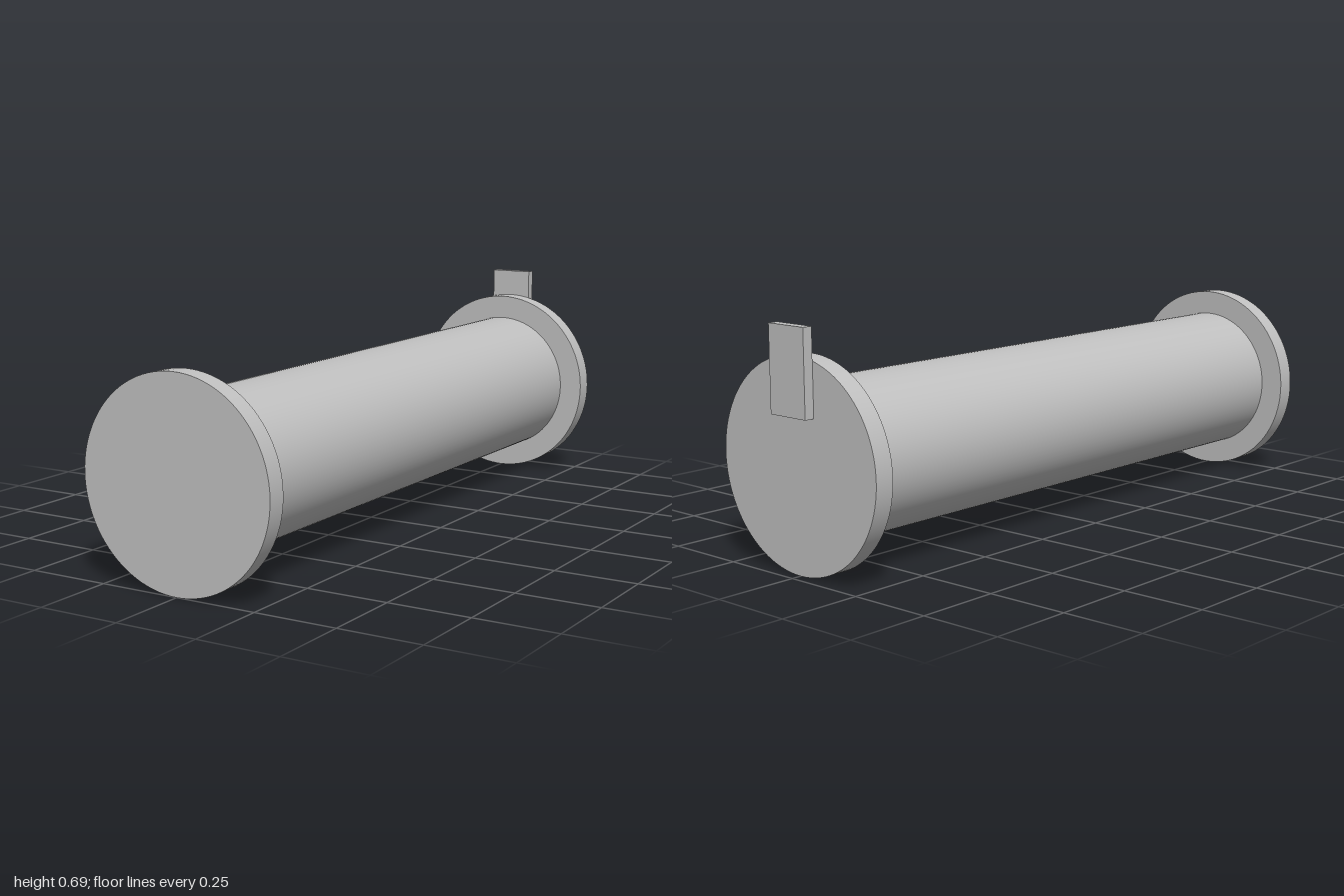
import * as THREE from 'three';

const RADIUS = 0.304; // flange radius, also the height of the axis

export function createModel() {
  const model = new THREE.Group();
  model.name = 'flangedCylinder';
  const grey = new THREE.MeshStandardMaterial({ color: 0xc0c0c0 });
  grey.name = 'grey';

  // Round part lying along z between two planes
  function addDisc(name, radius, zBack, zFront) {
    const geometry = new THREE.CylinderGeometry(radius, radius, zFront - zBack, 96);
    geometry.rotateX(Math.PI / 2);
    const mesh = new THREE.Mesh(geometry, grey);
    mesh.name = name;
    mesh.position.set(0, RADIUS, (zBack + zFront) / 2);
    model.add(mesh);
  }

  addDisc('barrel', 0.228, -0.91, 0.94);
  addDisc('frontFlange', RADIUS, 0.94, 1);
  addDisc('backFlange', RADIUS, -0.97, -0.91);

  // Flat tab fixed to the back flange, rising above its rim
  const tab = new THREE.Mesh(new THREE.BoxGeometry(0.138, 0.248, 0.03), grey);
  tab.name = 'backTab';
  tab.position.set(0, 0.569, -0.985);
  model.add(tab);

  return model;
}
